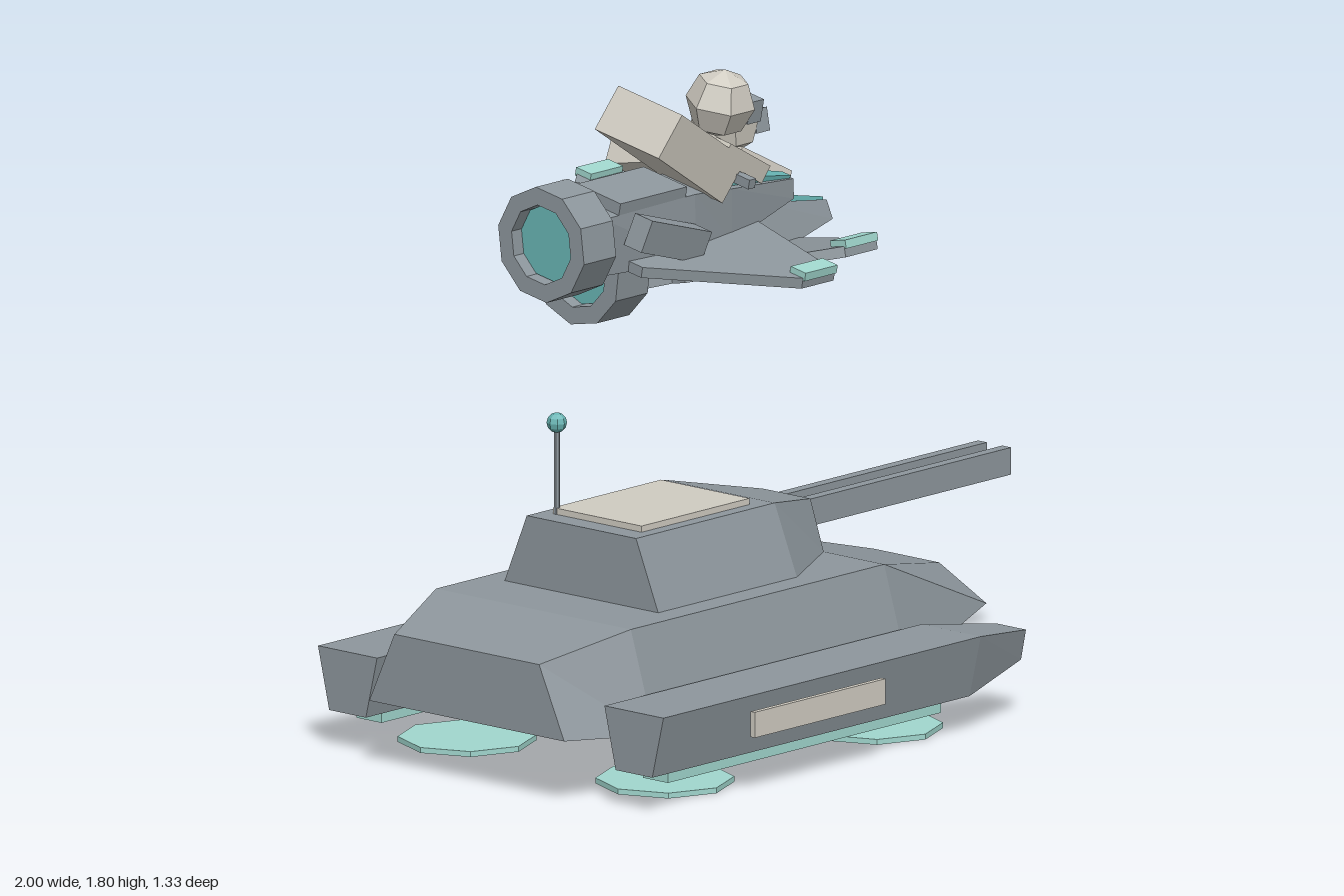
import * as THREE from 'three';

const paint = (name, color) => {
  const m = new THREE.MeshStandardMaterial({ color });
  m.name = name;
  return m;
};

export function createModel() {
  const grey = paint('armour grey', 0x8d969c);
  const cream = paint('cream panel', 0xcfcbc1);
  const glow = paint('pale teal', 0xa0d6cd);
  const teal = paint('deep teal', 0x68b5b4);

  // Facet a geometry so every face is flat
  const facet = (g) => {
    const f = g.index ? g.toNonIndexed() : g;
    f.computeVertexNormals();
    return f;
  };
  const add = (parent, name, geo, mat, x = 0, y = 0, z = 0, rz = 0) => {
    const m = new THREE.Mesh(facet(geo), mat);
    m.name = name;
    m.position.set(x, y, z);
    m.rotation.z = rz;
    parent.add(m);
    return m;
  };
  const box = (w, h, d) => new THREE.BoxGeometry(w, h, d);

  // Loft of trapezoid sections along x: [x, topY, topHalf, bottomY, bottomHalf]
  const loft = (sections) => {
    const pos = [], idx = [];
    for (const [x, ty, th, by, bh] of sections) {
      pos.push(x, by, -bh, x, ty, -th, x, ty, th, x, by, bh);
    }
    const e = (sections.length - 1) * 4;
    for (let s = 0; s < e; s += 4) {
      for (let i = 0; i < 4; i++) {
        const j = (i + 1) % 4;
        idx.push(s + i, s + j, s + 4 + j, s + i, s + 4 + j, s + 4 + i);
      }
    }
    idx.push(0, 3, 2, 0, 2, 1, e, e + 1, e + 2, e, e + 2, e + 3);
    const g = new THREE.BufferGeometry();
    g.setAttribute('position', new THREE.Float32BufferAttribute(pos, 3));
    g.setIndex(idx);
    return g;
  };

  const model = new THREE.Group();
  model.name = 'hoverTankAndBikes';

  // ---- Hover tank ----
  const tank = new THREE.Group();
  tank.name = 'hoverTank';
  tank.position.z = 0.008;
  model.add(tank);

  add(tank, 'hull', loft([
    [-0.98, 0.36, 0.245, 0.175, 0.33],
    [-0.73, 0.42, 0.33, 0.16, 0.41],
    [0.22, 0.42, 0.33, 0.16, 0.41],
    [0.67, 0.31, 0.11, 0.23, 0.27],
  ]), grey);
  add(tank, 'turret', loft([
    [-0.55, 0.6, 0.185, 0.42, 0.26],
    [-0.03, 0.6, 0.185, 0.42, 0.26],
    [0.22, 0.55, 0.08, 0.42, 0.125],
  ]), grey);
  add(tank, 'turretHatch', box(0.405, 0.016, 0.3), cream, -0.288, 0.608, 0);

  // Twin gun with glowing core
  for (const s of [-1, 1]) add(tank, 'gunBarrel', box(0.82, 0.07, 0.03), grey, 0.59, 0.505, s * 0.041);
  add(tank, 'gunCore', box(0.76, 0.022, 0.054), glow, 0.56, 0.5, 0);

  // Antenna
  add(tank, 'antennaMast', new THREE.CylinderGeometry(0.008, 0.008, 0.24, 6), grey, -0.485, 0.71, -0.142);
  add(tank, 'antennaTip', new THREE.SphereGeometry(0.026, 8, 6), teal, -0.485, 0.836, -0.142);

  // Side pontoons and hover discs
  for (const s of [-1, 1]) {
    const z = s * 0.485;
    add(tank, 'sidePontoon', loft([
      [-0.89, 0.26, 0.1, 0.1, 0.062],
      [0.3, 0.26, 0.1, 0.1, 0.062],
      [0.525, 0.23, 0.05, 0.15, 0.033],
    ]), grey, 0, 0, z);
    add(tank, 'pontoonGlowStrip', box(1.025, 0.032, 0.084), glow, -0.297, 0.085, z);
    add(tank, 'sidePanel', box(0.49, 0.066, 0.014), cream, -0.32, 0.187, s * 0.594);
    for (const x of [-0.608, 0.175]) {
      const disc = new THREE.CylinderGeometry(0.175, 0.175, 0.014, 8);
      add(tank, 'hoverDisc', disc, glow, x, 0.011, s * 0.335);
    }
  }

  // ---- Flying bike with rider, nose towards +x ----
  const makeBike = (x, y, z, roll) => {
    const bike = new THREE.Group();
    bike.name = 'flyingBike';
    bike.position.set(x, y, z);
    bike.rotation.x = roll;
    model.add(bike);

    add(bike, 'fuselage', loft([
      [-0.1, 0.07, 0.075, -0.08, 0.09],
      [0.24, 0.075, 0.075, -0.09, 0.11],
      [0.4, 0.055, 0.06, -0.08, 0.085],
      [0.683, 0.015, 0.018, -0.035, 0.03],
    ]), grey);
    add(bike, 'rearDeck', box(0.25, 0.035, 0.15), grey, 0.08, 0.085, 0);
    add(bike, 'noseStripe', loft([
      [0.36, 0.087, 0.045, 0.055, 0.045],
      [0.675, 0.024, 0.014, 0.008, 0.014],
    ]), teal);

    // Thin delta wing
    const half = [[0, 0.14], [0.33, 0.39], [0.45, 0.39], [0.52, 0.06]];
    const outline = [...half, ...half.map(([a, b]) => [a, -b]).reverse()];
    const wing = new THREE.ExtrudeGeometry(
      new THREE.Shape(outline.map(([a, b]) => new THREE.Vector2(a, b))),
      { depth: 0.028, bevelEnabled: false });
    wing.rotateX(Math.PI / 2);
    add(bike, 'wing', wing, grey, 0, -0.055, 0);

    // Open thruster ring with glowing core
    const ring = new THREE.LatheGeometry(
      [[0.148, -0.06], [0.148, 0.06], [0.102, 0.06], [0.102, -0.06], [0.148, -0.06]]
        .map(([r, h]) => new THREE.Vector2(r, h)), 10);
    add(bike, 'thrusterRing', ring, grey, -0.18, 0, 0, Math.PI / 2);
    add(bike, 'thrusterCore', new THREE.CylinderGeometry(0.1, 0.1, 0.1, 10), teal, -0.155, 0, 0, Math.PI / 2);

    // Controls and mirrored parts
    add(bike, 'handlebarPost', box(0.025, 0.07, 0.025), grey, 0.36, 0.09, 0);
    add(bike, 'handlebar', box(0.025, 0.025, 0.31), grey, 0.36, 0.11, 0);
    for (const s of [-1, 1]) {
      add(bike, 'sidePod', box(0.25, 0.085, 0.06), grey, 0.1, 0.0, s * 0.125, -0.3);
      add(bike, 'wingTipLight', box(0.12, 0.022, 0.052), glow, 0.39, -0.05, s * 0.37);
      add(bike, 'riderArm', box(0.19, 0.05, 0.05), cream, 0.38, 0.145, s * 0.085, -0.5);
    }

    // Rider
    add(bike, 'riderTorso', box(0.325, 0.125, 0.22), cream, 0.205, 0.19, 0, -0.56);
    add(bike, 'riderHead', new THREE.SphereGeometry(0.09, 6, 4), cream, 0.375, 0.272, 0);
    add(bike, 'riderVisor', box(0.05, 0.06, 0.13), grey, 0.44, 0.258, 0);
  };
  makeBike(0, 1.165, -0.29, -0.19);
  makeBike(-0.76, 1.452, 0.278, 0.19);

  return model;
}
